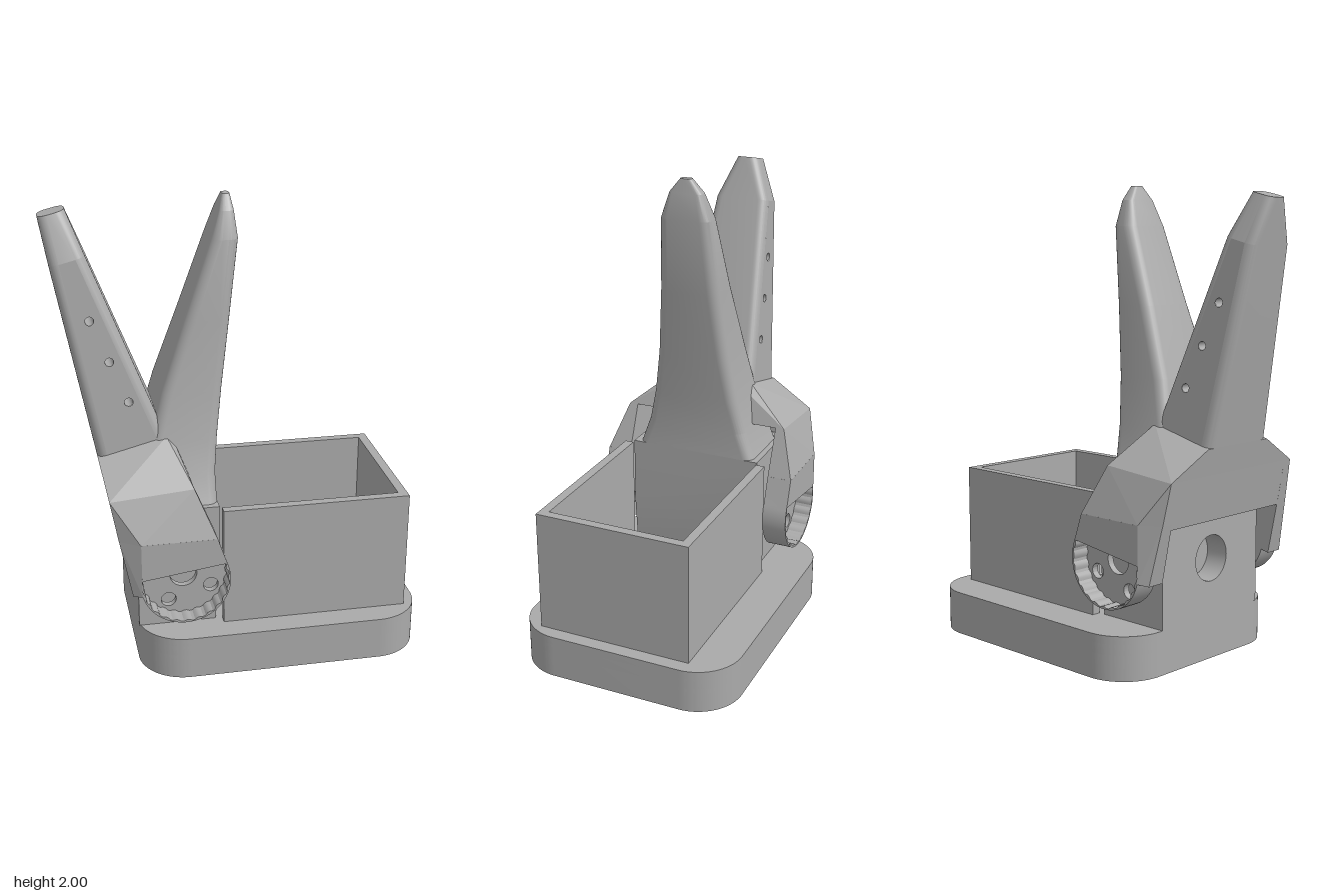
import * as THREE from 'three';
import { toCreasedNormals } from 'three/addons/utils/BufferGeometryUtils.js';
import { ConvexGeometry } from 'three/addons/geometries/ConvexGeometry.js';

const grey = new THREE.MeshStandardMaterial({ color: 0xaaaaaa });
grey.name = 'printed grey plastic';

function add(parent, name, geo) {
  const m = new THREE.Mesh(geo, grey);
  m.name = name;
  parent.add(m);
  return m;
}

const polygon = (pts) => new THREE.Shape(pts.map(([x, y]) => new THREE.Vector2(x, y)));
const rect = (x0, y0, x1, y1) => polygon([[x0, y0], [x1, y0], [x1, y1], [x0, y1]]);

function disc(x, y, r, Type = THREE.Path) {
  const p = new Type();
  p.absarc(x, y, r, 0, Math.PI * 2, false);
  return p;
}

function extrude(shape, depth, holes = []) {
  shape.holes.push(...holes);
  const g = new THREE.ExtrudeGeometry(shape, { depth, bevelEnabled: false, curveSegments: 20 });
  return toCreasedNormals(g, 0.5);
}

// Convex solid from [x, y, z] corners
const hull = (pts) => new ConvexGeometry(pts.map((p) => new THREE.Vector3(...p)));
const bothSides = (pts) => pts.flatMap(([x, y, z]) => [[x, y, z], [x, y, -z]]);

// Rounded rectangular sections {l, r, h}: edge points in x/y and half depth in z, bottom to top
const K = 6;
function loft(sections, radius, skip = () => false) {
  const pos = [], idx = [], n = 4 * (K + 1);
  for (const { l, r, h } of sections) {
    const dx = r[0] - l[0], dy = r[1] - l[1], w = Math.hypot(dx, dy) / 2;
    const rad = Math.min(radius, h * 0.75, w * 0.75);
    for (let c = 0; c < 4; c++) for (let j = 0; j <= K; j++) {
      const a = (c + j / K) * Math.PI / 2;
      const u = ((c === 0 || c === 3 ? 1 : -1) * (w - rad) + rad * Math.cos(a)) / (2 * w);
      const z = (c < 2 ? 1 : -1) * (h - rad) + rad * Math.sin(a);
      pos.push((l[0] + r[0]) / 2 + u * dx, (l[1] + r[1]) / 2 + u * dy, z);
    }
  }
  for (let i = 0; i < sections.length - 1; i++) for (let j = 0; j < n; j++) {
    if (skip(i, j)) continue;
    const a = i * n + j, b = i * n + (j + 1) % n;
    idx.push(a, a + n, b + n, a, b + n, b);
  }
  const top = (sections.length - 1) * n;
  for (let j = 1; j < n - 1; j++) idx.push(top, top + j + 1, top + j);
  const g = new THREE.BufferGeometry();
  g.setAttribute('position', new THREE.Float32BufferAttribute(pos, 3));
  g.setIndex(idx);
  return toCreasedNormals(g, 0.3);
}

// Rounded base plate with a recess below and counterbored screw holes
function makeBase(root) {
  const base = new THREE.Group();
  base.name = 'base';
  root.add(base);
  const cx = 0.21, cz = 0.035, R = 0.2, x0 = -0.455, x1 = 0.785, d = 0.49;
  const outline = () => {
    const s = new THREE.Shape();
    s.absarc(x1 - R, d - R, R, 0, Math.PI / 2);
    s.absarc(x0 + R, d - R, R, Math.PI / 2, Math.PI);
    s.absarc(x0 + R, -d + R, R, Math.PI, Math.PI * 1.5);
    s.absarc(x1 - R, -d + R, R, Math.PI * 1.5, Math.PI * 2);
    return s;
  };
  const screws = (r) => [[-1, -1], [1, -1], [1, 1], [-1, 1]]
    .map(([a, b]) => disc(cx + a * 0.095, -cz + b * 0.095, r));
  const layer = (name, y0, y1, holes) =>
    add(base, name, extrude(outline(), y1 - y0, holes).rotateX(-Math.PI / 2).translate(0, y0, 0));
  layer('recessedUnderside', 0, 0.11, [disc(cx, -cz, R)]);
  layer('screwPlate', 0.11, 0.155, [disc(cx, -cz, 0.052), ...screws(0.031)]);
  layer('counterborePlate', 0.155, 0.19, [disc(cx, -cz, 0.052), ...screws(0.057)]);
}

// Three-sided open tray
function makeTray(root) {
  const walls = polygon([[-0.09, 0.345], [-0.09, 0.305], [0.685, 0.305], [0.685, -0.305],
    [-0.09, -0.305], [-0.09, -0.345], [0.725, -0.345], [0.725, 0.345]]);
  add(root, 'trayWalls', extrude(walls, 0.535).rotateX(-Math.PI / 2).translate(0, 0.19, 0));
}

// Fixed finger on its hinge block
function makeFixedFinger(root) {
  const g = new THREE.Group();
  g.name = 'fixedFinger';
  root.add(g);
  const block = polygon([[-0.35, 0.19], [-0.12, 0.19], [-0.1, 0.42], [-0.1, 0.73], [-0.35, 0.73]]);
  add(g, 'hingeBlock', extrude(block, 0.61).translate(0, 0, -0.305));
  const wall = extrude(rect(-0.305, 0.19, 0.305, 0.73), 0.105, [disc(0, 0.44, 0.1)]);
  add(g, 'cableWall', wall.rotateY(Math.PI / 2).translate(-0.455, 0, 0));
  const rows = [ // y, back x, front x, half depth
    [0.68, -0.43, -0.1, 0.3], [0.74, -0.42, -0.1, 0.275], [0.85, -0.41, -0.1, 0.235],
    [1.0, -0.37, -0.085, 0.2], [1.2, -0.316, -0.06, 0.168], [1.5, -0.21, -0.02, 0.138],
    [1.83, -0.093, 0.02, 0.115], [1.94, -0.055, 0.007, 0.075], [2.0, -0.035, -0.003, 0.025]];
  add(g, 'fingerBlade', loft(rows.map(([y, a, b, h]) => ({ l: [a, y], r: [b, y], h })), 0.045));
}

// Swinging finger with three cross holes
function makeMovingFinger(root) {
  const g = new THREE.Group();
  g.name = 'movingFinger';
  root.add(g);
  const rad = 0.04, holeR = 0.018;
  const s = [
    { l: [-0.595, 0.945], r: [-0.305, 1.02], h: 0.19 },
    { l: [-0.752, 1.755], r: [-0.607, 1.792], h: 0.125 },
    { l: [-0.785, 1.94], r: [-0.675, 1.967], h: 0.052 }];
  const flat = (j) => j === K || j === 3 * K + 2;
  add(g, 'fingerBlade', loft(s, rad, (i, j) => i === 0 && flat(j)));

  // Flat cheeks pierced by the holes
  const inset = ({ l, r }) => {
    const t = rad / Math.hypot(r[0] - l[0], r[1] - l[1]);
    const at = (k) => [l[0] + (r[0] - l[0]) * k, l[1] + (r[1] - l[1]) * k];
    return [at(t), at(1 - t)];
  };
  const [a, b] = inset(s[0]), [d, c] = inset(s[1]);
  const n = [a[1] - b[1], b[0] - a[0]];
  const along = (x, y) => (x - a[0]) * n[0] + (y - a[1]) * n[1];
  const half = (x, y) => s[0].h + (s[1].h - s[0].h) * along(x, y) / along(...d);
  const holes = [[-0.603, 1.53], [-0.53, 1.355], [-0.457, 1.18]];
  const cheek = polygon([a, b, c, d]);
  cheek.holes = holes.map(([x, y]) => disc(x, y, holeR));
  const geo = new THREE.ShapeGeometry(cheek, 12);
  const p = geo.attributes.position;
  for (let i = 0; i < p.count; i++) p.setZ(i, half(p.getX(i), p.getY(i)));
  geo.computeVertexNormals();
  add(g, 'frontCheek', geo);
  add(g, 'rearCheek', geo).scale.z = -1;

  // Hole bores, facing inwards
  for (const [x, y] of holes) {
    const bore = new THREE.CylinderGeometry(holeR, holeR, 2 * half(x, y), 16, 1, true);
    add(g, 'crossHole', bore.scale(-1, 1, 1).rotateX(Math.PI / 2).translate(x, y, 0));
    const ix = bore.index.array;
    for (let i = 0; i < ix.length; i += 3) {
      // keep the mirrored winding, only turn the normals
      const t = bore.attributes.normal;
      for (let k = 0; k < 3; k++) {
        const v = ix[i + k];
        t.setXYZ(v, (x - bore.attributes.position.getX(v)) / holeR, (y - bore.attributes.position.getY(v)) / holeR, 0);
      }
    }
  }
}

// Forked yoke that carries the moving finger
function makeYoke(root) {
  const g = new THREE.Group();
  g.name = 'yoke';
  root.add(g);
  add(g, 'yokeBridge', hull(bothSides([[-0.595, 0.945, 0.19], [-0.305, 1.02, 0.19], [-0.27, 0.985, 0.19],
    [-0.572, 0.83, 0.385], [-0.22, 0.86, 0.385]])));
  add(g, 'yokeBack', hull(bothSides([[-0.572, 0.83, 0.35], [-0.48, 0.84, 0.35],
    [-0.535, 0.63, 0.35], [-0.47, 0.64, 0.35]])));

  const px = -0.27, py = 0.465, zi = 0.345, zo = 0.455;
  for (const side of [1, -1]) {
    const arm = new THREE.Group();
    arm.name = side > 0 ? 'frontArm' : 'rearArm';
    arm.scale.z = side;
    g.add(arm);
    add(arm, 'armShoulder', hull([
      [-0.572, 0.83, zi], [-0.572, 0.83, 0.385], [-0.22, 0.86, zi], [-0.22, 0.86, 0.385],
      [-0.54, 0.655, zi], [-0.54, 0.655, 0.4], [-0.455, 0.655, zi], [-0.455, 0.655, zo],
      [-0.135, 0.655, zi], [-0.135, 0.655, zo]]));
    add(arm, 'armEdge', hull([
      [-0.49, 0.405, zi], [-0.49, 0.405, 0.425], [-0.454, 0.415, zi], [-0.454, 0.415, zo],
      [-0.455, 0.656, zi], [-0.455, 0.656, zo], [-0.54, 0.656, zi], [-0.54, 0.656, 0.4]]));
    // Round hinge housing with a notched inner rim
    const housing = new THREE.Shape();
    housing.moveTo(-0.455, 0.656);
    housing.lineTo(-0.135, 0.656);
    housing.absarc(px, py, 0.19, 0.4, -Math.PI + 0.25, true);
    const rim = [];
    for (let i = 0; i < 96; i++) {
      const t = i / 96 * Math.PI * 2, r = i % 4 < 2 ? 0.178 : 0.184;
      rim.push([px + r * Math.cos(t), py + r * Math.sin(t)]);
    }
    add(arm, 'hingeHousing', extrude(housing, zo - zi, [polygon(rim)]).translate(0, 0, zi));
    // Servo horn plate with its screw holes
    const holes = [disc(px, py, 0.058)];
    for (let i = 0; i < 4; i++) {
      const t = 1.07 + i * Math.PI / 2;
      holes.push(disc(px + 0.134 * Math.cos(t), py + 0.134 * Math.sin(t), 0.032));
    }
    add(arm, 'hornPlate', extrude(disc(px, py, 0.186, THREE.Shape), 0.03, holes).translate(0, 0, zi));
  }
}

export function createModel() {
  const model = new THREE.Group();
  model.name = 'gripper';
  makeBase(model);
  const upper = new THREE.Group();
  upper.name = 'gripperUpper';
  upper.position.z = 0.035;
  model.add(upper);
  makeTray(upper);
  makeFixedFinger(upper);
  makeMovingFinger(upper);
  makeYoke(upper);
  return model;
}
